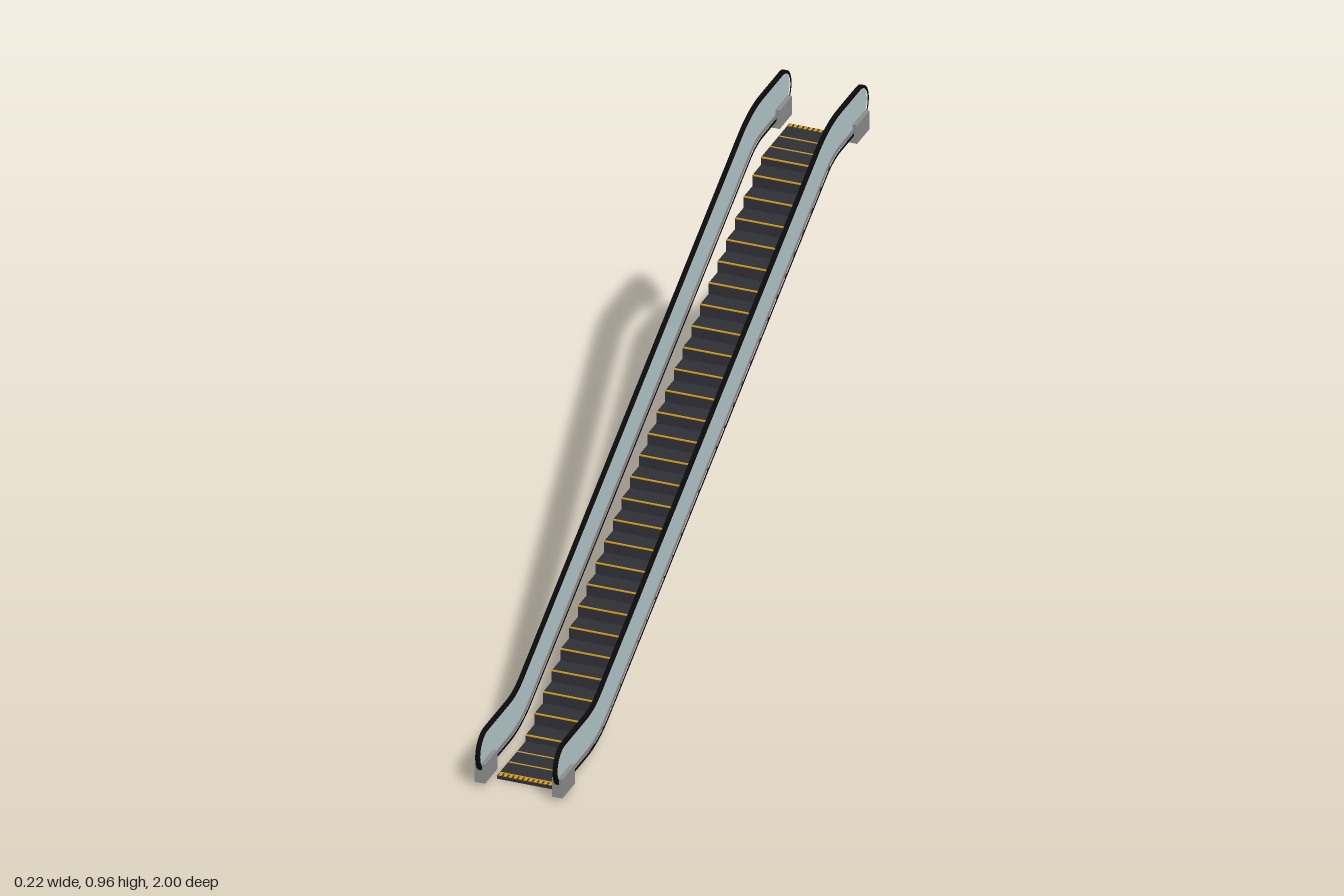
import * as THREE from 'three';

const mat = (name, color) => {
  const m = new THREE.MeshStandardMaterial({ color });
  m.name = name;
  return m;
};

// Centre line of a balustrade: u runs from the lower front (-) to the upper back (+)
function centreLine() {
  const v = (u, y) => new THREE.Vector2(u, y);
  const low = v(-0.745, 0.087), high = v(0.76, 0.903);
  const dir = high.clone().sub(low).normalize().multiplyScalar(0.06);
  const lowBend = new THREE.QuadraticBezierCurve(v(low.x - 0.06, low.y), low, low.clone().add(dir));
  const highBend = new THREE.QuadraticBezierCurve(high.clone().sub(dir), high, v(high.x + 0.06, high.y));
  const sample = (curve) => Array.from({ length: 9 }, (_, i) => {
    const t = curve.getTangent(i / 8);
    return { p: curve.getPoint(i / 8), n: v(-t.y, t.x) };
  });
  const up = v(0, 1);
  return [{ p: v(-0.945, 0.087), n: up }, ...sample(lowBend), ...sample(highBend), { p: v(0.943, 0.903), n: up }];
}

const line = centreLine();
const offset = (d) => line.map(({ p, n }) => p.clone().addScaledVector(n, d));

// Closed outline at distance h around the centre line, with round ends
function outline(h) {
  const arc = (c, from) => Array.from({ length: 15 }, (_, i) => {
    const a = from - Math.PI * (i + 1) / 16;
    return new THREE.Vector2(c.x + h * Math.cos(a), c.y + h * Math.sin(a));
  });
  return [
    ...offset(h), ...arc(line[line.length - 1].p, Math.PI / 2),
    ...offset(-h).reverse(), ...arc(line[0].p, -Math.PI / 2),
  ];
}

// Side profile extruded across x, centred on x = 0
function sideExtrude(points, width, hole) {
  const shape = new THREE.Shape(points);
  if (hole) shape.holes.push(new THREE.Path(hole));
  return new THREE.ExtrudeGeometry(shape, { depth: width, bevelEnabled: false })
    .translate(0, 0, -width / 2).rotateY(Math.PI / 2);
}

export function createModel() {
  const model = new THREE.Group();
  model.name = 'escalator';
  const glass = mat('pale blue glass', 0xb2c6ca);
  const rubber = mat('black rubber', 0x0a0a0b);
  const steel = mat('grey steel', 0x8c8c8c);
  const tread = mat('dark tread', 0x2e2e36);
  const yellow = mat('safety yellow', 0xd99a0c);

  const add = (parent, name, geometry, material) => {
    const mesh = new THREE.Mesh(geometry, material);
    mesh.name = name;
    parent.add(mesh);
    return mesh;
  };
  const box = (parent, name, material, w, y0, y1, z0, z1, x = 0) =>
    add(parent, name, new THREE.BoxGeometry(w, y1 - y0, z1 - z0)
      .translate(x, (y0 + y1) / 2, (z0 + z1) / 2), material);

  // Balustrades: glass panel, handrail loop, lower trim and end housings
  const panelGeo = sideExtrude(outline(0.05), 0.004);
  const railGeo = sideExtrude(outline(0.0555), 0.01, outline(0.048));
  const trimGeo = sideExtrude([...offset(-0.038), ...offset(-0.0485).reverse()], 0.007);
  for (const side of [-1, 1]) {
    const balustrade = new THREE.Group();
    balustrade.name = side > 0 ? 'leftBalustrade' : 'rightBalustrade';
    balustrade.position.x = side * 0.099;
    add(balustrade, 'glassPanel', panelGeo, glass);
    add(balustrade, 'handrail', railGeo, rubber);
    add(balustrade, 'lowerTrim', trimGeo, steel);
    box(balustrade, 'lowerHousing', steel, 0.027, 0.012, 0.063, 0.904, 0.983);
    box(balustrade, 'upperHousing', steel, 0.027, 0.828, 0.878, -0.981, -0.902);
    model.add(balustrade);
  }

  // Steps: level at both landings, rising evenly between them
  const width = 0.154, depth = 0.0558, first = 0.913, count = 33;
  const topOf = (k) => THREE.MathUtils.clamp(0.025 + (k - 3) * 0.03, 0.008, 0.825);
  const steps = new THREE.Group();
  steps.name = 'steps';
  model.add(steps);
  for (let k = 0; k < count; k++) {
    const front = first - k * depth, y = topOf(k);
    box(steps, 'step', tread, width, Math.max(0, topOf(k - 1) - 0.007), y, front - depth - 0.002, front);
    box(steps, 'stepEdge', yellow, width, y - 0.002, y + 0.0008, front - 0.003, front + 0.0005);
    box(steps, 'stepGroove', steel, width, y - 0.001, y + 0.0006, front - 0.0045, front - 0.003);
  }

  // Landing combs: dark plate with a row of yellow teeth at each end
  for (const [z, y] of [[0.921, 0.008], [-0.934, 0.825]]) {
    box(model, 'combPlate', tread, width, y - 0.008, y, z - 0.008, z + 0.008);
    for (let i = 0; i < 12; i++) {
      box(model, 'combTooth', yellow, 0.008, y - 0.001, y + 0.001, z - 0.006, z + 0.006, (i - 5.5) * 0.0128);
    }
  }
  return model;
}
